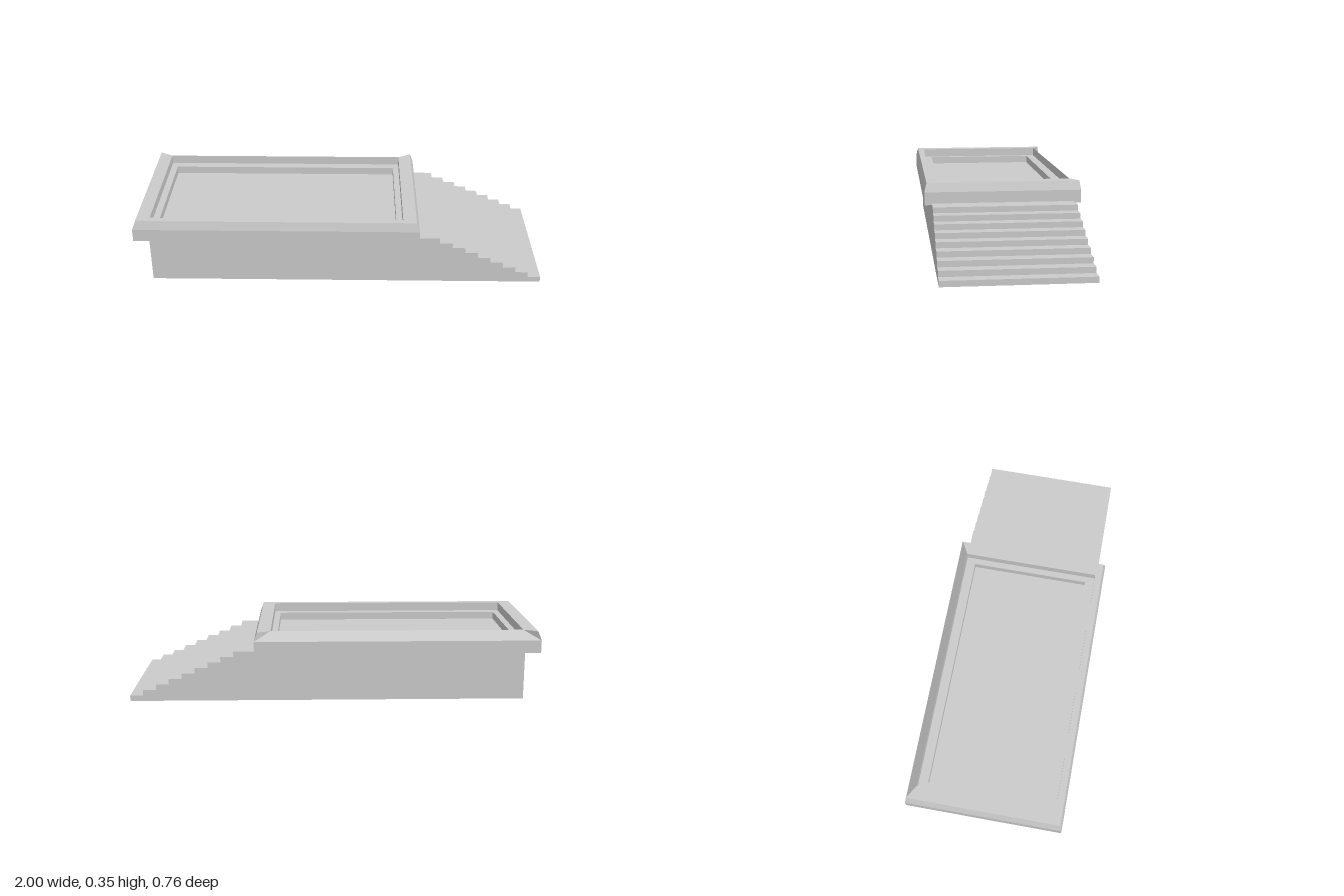
import * as THREE from 'three';

const material = new THREE.MeshStandardMaterial({ color: 0xcccccc, flatShading: true, side: THREE.DoubleSide });

const HALF_DEPTH = 0.344;
const BASE = { left: -0.93, right: 0.33, top: 0.24 };

// Corners of a level rectangle, counter-clockwise seen from above, starting front at x0
function rectLoop(x0, x1, zBack, zFront, y) {
  return [[x0, y, zFront], [x1, y, zFront], [x1, y, zBack], [x0, y, zBack]];
}

// Flat-faced mesh from a list of triangles and quads
function facesMesh(name, faces) {
  const points = [];
  for (const f of faces) {
    for (let i = 1; i < f.length - 1; i++) points.push(...f[0], ...f[i], ...f[i + 1]);
  }
  const geometry = new THREE.BufferGeometry();
  geometry.setAttribute('position', new THREE.Float32BufferAttribute(points, 3));
  geometry.computeVertexNormals();
  return named(name, geometry);
}

function named(name, geometry) {
  const mesh = new THREE.Mesh(geometry, material);
  mesh.name = name;
  return mesh;
}

// Solid block under the basin
function makeBase() {
  const { left, right, top } = BASE;
  const geometry = new THREE.BoxGeometry(right - left, top, HALF_DEPTH * 2);
  geometry.translate((left + right) / 2, top / 2, 0);
  return named('base', geometry);
}

// Overhanging rim with a chamfered edge, an inner ledge and a sunken floor
function makeRimAndBasin() {
  const loops = [
    rectLoop(BASE.left, BASE.right, -HALF_DEPTH, HALF_DEPTH, 0.24), // underside
    rectLoop(-1, 0.39, -0.379, 0.379, 0.24),                        // outer wall foot
    rectLoop(-1, 0.39, -0.379, 0.379, 0.302),                       // chamfer start
    rectLoop(-0.983, 0.375, -0.373, 0.368, 0.346),                  // crest
    rectLoop(-0.918, 0.31, -0.335, 0.335, 0.346),                   // inner lip
    rectLoop(-0.918, 0.31, -0.335, 0.335, 0.302),                   // ledge outside
    rectLoop(-0.885, 0.28, -0.29, 0.29, 0.302),                     // ledge inside
    rectLoop(-0.885, 0.28, -0.29, 0.29, 0.264),                     // floor edge
  ];
  const rim = [];
  const basin = [];
  for (let k = 0; k < loops.length - 1; k++) {
    const a = loops[k], b = loops[k + 1];
    for (let i = 0; i < 4; i++) {
      const j = (i + 1) % 4;
      // The back rail has no crest
      if (i === 2 && (k === 2 || k === 3)) continue;
      (k < 5 ? rim : basin).push([a[i], a[j], b[j], b[i]]);
    }
  }
  basin.push(loops[7]);

  // Back rail slopes straight up to the inner lip; the end rails close with triangles
  const [outer, crest, lip] = [loops[2], loops[3], loops[4]];
  rim.push([outer[2], outer[3], lip[3], lip[2]]);
  rim.push([outer[3], crest[3], lip[3]], [crest[2], outer[2], lip[2]]);
  return [facesMesh('rim', rim), facesMesh('basin', basin)];
}

// Hollow flight of steps with flat side panels
function makeStairs() {
  const stairs = new THREE.Group();
  stairs.name = 'stairs';
  const count = 9, run = 0.0635, rise = 0.0275;
  const outline = [[1, 0]];
  for (let i = 0; i < count; i++) {
    const y = (i + 1) * rise;
    outline.push([1 - i * run, y]);
    outline.push([i === count - 1 ? BASE.right : 1 - (i + 1) * run, y]);
  }

  // Treads and risers
  const steps = [];
  for (let i = 0; i < outline.length - 1; i++) {
    const [ax, ay] = outline[i], [bx, by] = outline[i + 1];
    steps.push([[ax, ay, HALF_DEPTH], [ax, ay, -HALF_DEPTH], [bx, by, -HALF_DEPTH], [bx, by, HALF_DEPTH]]);
  }
  stairs.add(facesMesh('steps', steps));

  // Side panels
  const shape = new THREE.Shape([[BASE.right, 0], ...outline].map(([x, y]) => new THREE.Vector2(x, y)));
  for (const side of [1, -1]) {
    const panel = named(side > 0 ? 'frontStairPanel' : 'backStairPanel', new THREE.ShapeGeometry(shape));
    panel.position.z = side * HALF_DEPTH;
    stairs.add(panel);
  }
  return stairs;
}

export function createModel() {
  const model = new THREE.Group();
  model.name = 'raisedBasinWithStairs';
  model.add(makeBase(), ...makeRimAndBasin(), makeStairs());
  return model;
}
